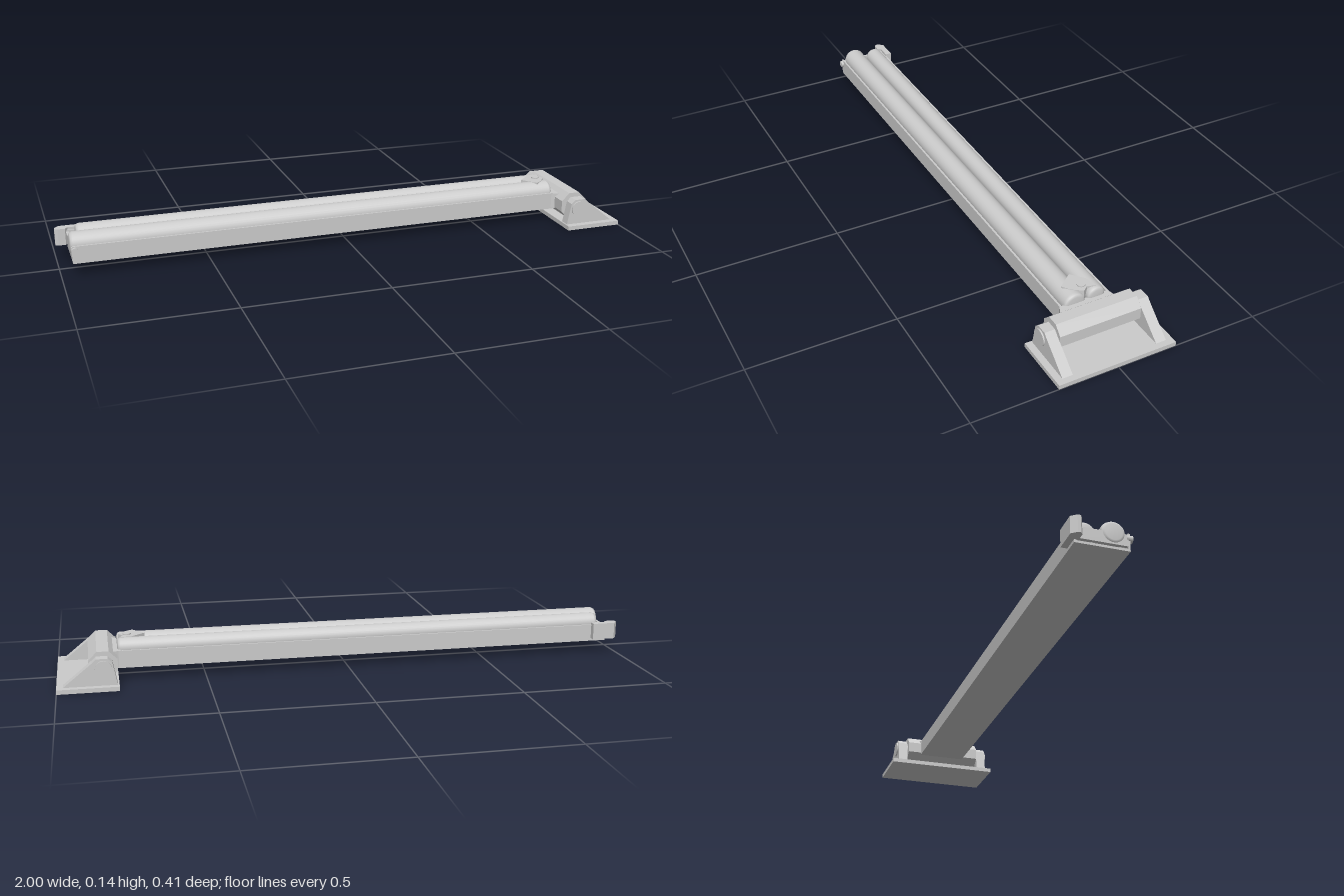
import * as THREE from 'three';

const material = new THREE.MeshStandardMaterial({ color: 0xcccccc });
const flat = new THREE.MeshStandardMaterial({ color: 0xcccccc, flatShading: true });

export function createModel() {
  const model = new THREE.Group();

  const add = (name, geometry, x = 0, y = 0, z = 0, mat = flat) => {
    const mesh = new THREE.Mesh(geometry, mat);
    mesh.name = name;
    mesh.position.set(x, y, z);
    model.add(mesh);
    return mesh;
  };

  // box given by its limits on each axis
  const box = (name, x0, x1, y0, y1, z0, z1) =>
    add(name, new THREE.BoxGeometry(x1 - x0, y1 - y0, z1 - z0),
      (x0 + x1) / 2, (y0 + y1) / 2, (z0 + z1) / 2);

  // outline in x,y extruded along z
  const sideProfile = (name, points, z0, z1) => {
    const shape = new THREE.Shape(points.map(p => new THREE.Vector2(...p)));
    return add(name, new THREE.ExtrudeGeometry(shape, { depth: z1 - z0, bevelEnabled: false }), 0, 0, z0);
  };

  // outline in x,z extruded upwards
  const planProfile = (name, points, y0, y1) => {
    const shape = new THREE.Shape(points.map(([x, z]) => new THREE.Vector2(x, -z)));
    const mesh = add(name, new THREE.ExtrudeGeometry(shape, { depth: y1 - y0, bevelEnabled: false }), 0, y0, 0);
    mesh.rotation.x = -Math.PI / 2;
    return mesh;
  };

  // open-topped channel beam
  box('beamFloor', -0.96, 0.82, 0.045, 0.053, -0.092, 0.083);
  box('beamBackWall', -0.96, 0.82, 0.045, 0.105, -0.092, -0.085);
  box('beamFrontWall', -0.96, 0.82, 0.045, 0.105, 0.076, 0.083);
  box('beamEndWall', 0.80, 0.82, 0.045, 0.105, -0.092, 0.083);

  // two long tubes with slightly rounded ends, lying in the channel
  const tube = (name, x0, x1, z, r) => {
    const length = x1 - x0, b = 0.012;
    const profile = [[0, 0], [r - b, 0], [r - b * 0.3, b * 0.3], [r, b],
      [r, length - b], [r - b * 0.3, length - b * 0.3], [r - b, length], [0, length]];
    const geometry = new THREE.LatheGeometry(profile.map(p => new THREE.Vector2(...p)), 32);
    add(name, geometry, x0, 0.139 - r, z, material).rotation.z = -Math.PI / 2;
  };
  tube('largeTube', -0.965, 0.795, 0.031, 0.039);
  tube('smallTube', -0.935, 0.795, -0.045, 0.032);

  // diamond clamp and its screw above the tubes
  planProfile('clamp', [[0.70, 0], [0.74, 0.052], [0.765, 0.035], [0.79, 0],
    [0.775, -0.02], [0.785, -0.045], [0.745, -0.04]], 0.11, 0.14);
  add('clampScrew', new THREE.CylinderGeometry(0.014, 0.014, 0.02, 12), 0.76, 0.134, -0.007);

  // hooked end latch
  planProfile('endLatch', [[-1, -0.085], [-1, -0.095], [-0.985, -0.113], [-0.905, -0.113],
    [-0.905, -0.09], [-0.955, -0.09], [-0.965, -0.078], [-0.99, -0.078]], 0.055, 0.113);
  box('latchBar', -0.962, -0.952, 0.06, 0.10, -0.085, 0.076);
  add('latchPin', new THREE.CylinderGeometry(0.012, 0.012, 0.02, 16), -0.952, 0.09, 0.082, material)
    .rotation.x = Math.PI / 2;

  // flared neck between the beam and the hinge
  planProfile('hingeNeck', [[0.785, -0.09], [0.785, 0.083], [0.82, 0.10], [0.83, 0.144],
    [0.85, 0.144], [0.85, -0.144], [0.83, -0.144], [0.82, -0.10]], 0.05, 0.105);

  // eight-sided hinge barrel
  const barrel = add('hingeBarrel',
    new THREE.CylinderGeometry(0.052, 0.052, 0.288, 8).rotateY(Math.PI / 8), 0.845, 0.072, 0);
  barrel.rotation.x = Math.PI / 2;

  // foot plate
  box('footPlate', 0.795, 1, 0, 0.015, -0.207, 0.207);

  // triangular cheeks with round pin heads
  const cheek = [[0.80, 0.014], [0.98, 0.014], [0.883, 0.092], [0.868, 0.106], [0.83, 0.106], [0.815, 0.092]];
  for (const s of [-1, 1]) {
    const side = s > 0 ? 'left' : 'right';
    const [a, b] = [s * 0.148, s * 0.184].sort((p, q) => p - q);
    sideProfile('hingeCheek', cheek, a, b).name = 'hingeCheek' + (s > 0 ? 'Front' : 'Back');
    add('hingePin' + (s > 0 ? 'Front' : 'Back'),
      new THREE.CylinderGeometry(0.028, 0.028, 0.05, 24), 0.845, 0.072, s * 0.164, material)
      .rotation.x = Math.PI / 2;
  }

  return model;
}
